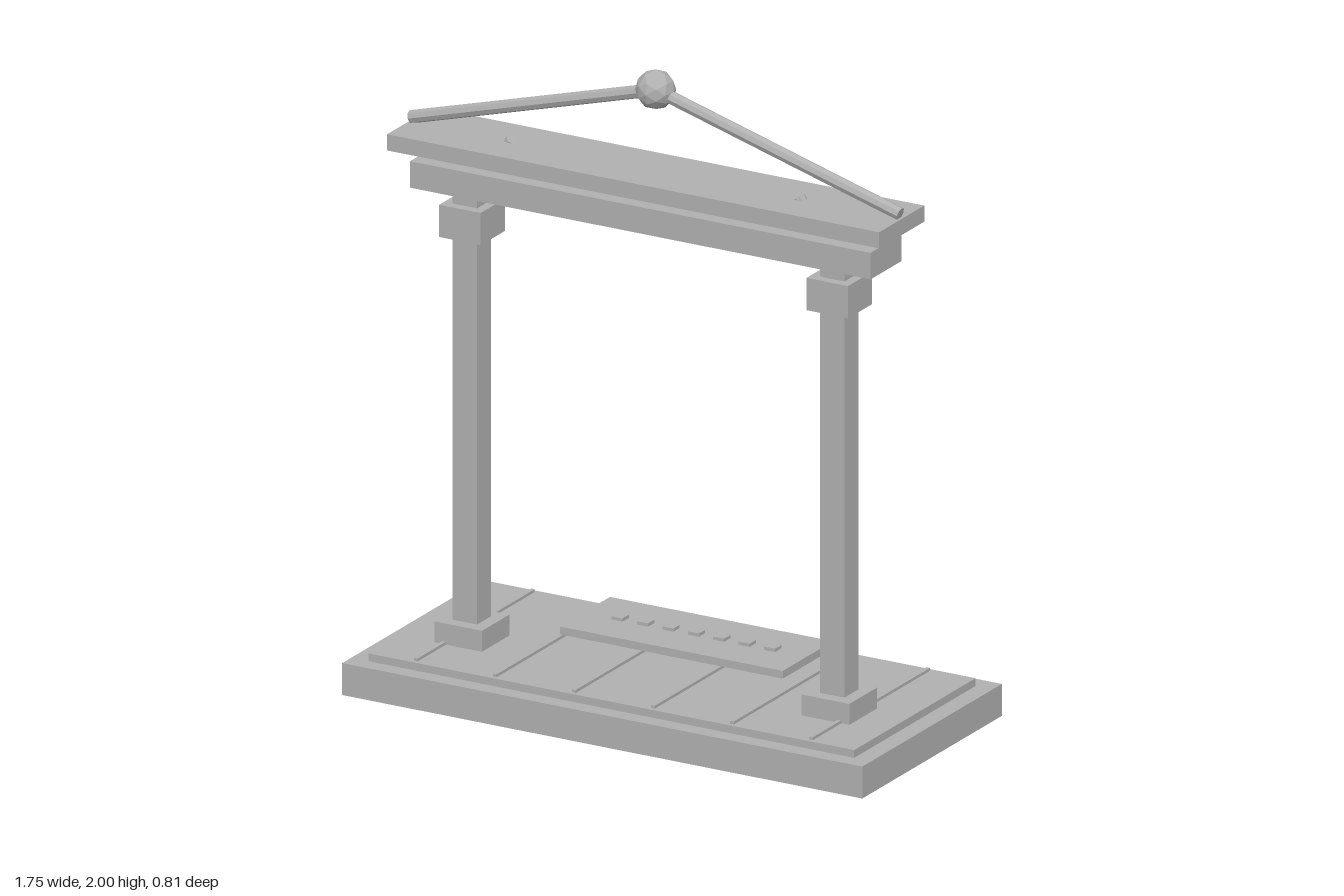
import * as THREE from 'three';

export function createModel() {
  const model = new THREE.Group();
  model.name = 'gateway';
  const stone = new THREE.MeshStandardMaterial({ color: 0xb0b0b0, flatShading: true });
  stone.name = 'grey stone';
  const gateZ = 0.095;

  const add = (name, geometry, x, y, z) => {
    const mesh = new THREE.Mesh(geometry, stone);
    mesh.name = name;
    mesh.position.set(x, y, z);
    model.add(mesh);
    return mesh;
  };
  // box given by its centre in x and z, and its bottom and top in y
  const box = (name, w, d, y0, y1, x = 0, z = 0) =>
    add(name, new THREE.BoxGeometry(w, y1 - y0, d), x, (y0 + y1) / 2, z);
  // round bar between two points in the plane of the gate
  const bar = (name, radius, x0, y0, x1, y1) => {
    const dir = new THREE.Vector3(x1 - x0, y1 - y0, 0);
    const mesh = add(name, new THREE.CylinderGeometry(radius, radius, dir.length(), 8),
      (x0 + x1) / 2, (y0 + y1) / 2, gateZ);
    mesh.quaternion.setFromUnitVectors(new THREE.Vector3(0, 1, 0), dir.normalize());
  };

  // stepped platform with raised floor strips
  box('base', 1.75, 0.81, 0, 0.099);
  box('floor', 1.635, 0.705, 0.099, 0.123);
  for (let i = 0; i < 6; i++) {
    box('floorStrip', 0.012, 0.68, 0.122, 0.132, (i - 2.5) * 0.266);
  }

  // raised plate with a row of studs
  box('plate', 0.75, 0.291, 0.153, 0.177, 0, -0.1415);
  for (let i = -3; i <= 3; i++) {
    box('stud', 0.037, 0.037, 0.176, 0.187, i * 0.0855, -0.142);
  }

  // posts, feet, capitals, braces and roof bars, mirrored
  for (const side of [-1, 1]) {
    const x = side * 0.618;
    box('post', 0.082, 0.082, 0.1, 1.522, x, gateZ);
    box('postFoot', 0.16, 0.16, 0.103, 0.188, x, gateZ);
    box('capital', 0.14, 0.14, 1.378, 1.478, x, gateZ);
    bar('brace', 0.019, side * 0.62, 1.48, side * 0.483, 1.695);
    bar('roofBar', 0.02, side * 0.823, 1.704, 0, 1.939);
  }

  // lintel, top slab and finial
  box('lintel', 1.55, 0.178, 1.521, 1.603, 0, gateZ);
  box('topSlab', 1.656, 0.262, 1.64, 1.69, 0, gateZ);
  add('finial', new THREE.IcosahedronGeometry(0.06, 1), 0, 1.94, gateZ);

  return model;
}
